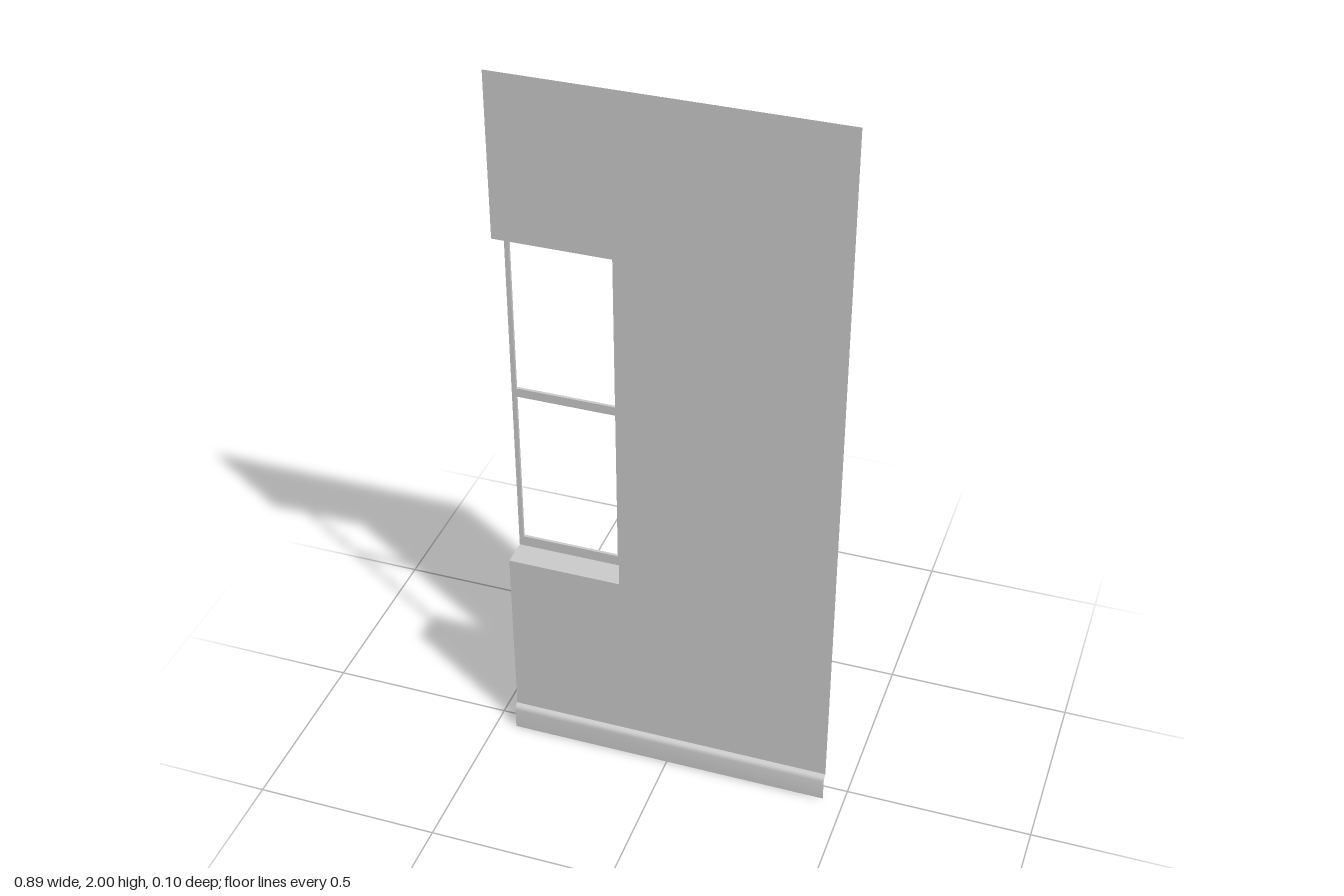
import * as THREE from 'three';
import { toCreasedNormals } from 'three/addons/utils/BufferGeometryUtils.js';

const material = new THREE.MeshStandardMaterial({ color: 0xcccccc, side: THREE.DoubleSide });

const HALF = 0.444;                                        // half width of the panel
const WALL_Z = 0.032, FRAME_Z = -0.042, BACK_Z = -0.05;    // depth layers
const BASE_TOP = 0.076;
const OPEN = { right: -0.135, bottom: 0.58, top: 1.56 };   // window recess
const PANE = { left: -0.432, right: -0.165 };
const PANE_ROWS = [[0.61, 1.06], [1.085, 1.53]];

function part(name, geometry) {
  const mesh = new THREE.Mesh(geometry, material);
  mesh.name = name;
  return mesh;
}

// Thin sheet made by sweeping a path of [x, y, z] points along a vector
function sweep(path, vector) {
  const position = [];
  const v = new THREE.Vector3(...vector);
  for (let i = 0; i < path.length - 1; i++) {
    const a = new THREE.Vector3(...path[i]), b = new THREE.Vector3(...path[i + 1]);
    const c = b.clone().add(v), d = a.clone().add(v);
    for (const p of [a, b, c, a, c, d]) position.push(p.x, p.y, p.z);
  }
  const geometry = new THREE.BufferGeometry();
  geometry.setAttribute('position', new THREE.Float32BufferAttribute(position, 3));
  return toCreasedNormals(geometry, Math.PI / 5);
}

// Counter-clockwise rectangle corners
const rectangle = (x0, y0, x1, y1) => [[x0, y0], [x1, y0], [x1, y1], [x0, y1]];
const toVectors = (points) => points.map(([x, y]) => new THREE.Vector2(x, y));

function flatSheet(points, z, holes = []) {
  const shape = new THREE.Shape(toVectors(points));
  shape.holes = holes.map((hole) => new THREE.Path(toVectors(hole)));
  return new THREE.ShapeGeometry(shape).translate(0, 0, z);
}

export function createModel() {
  const model = new THREE.Group();
  model.name = 'wallPanelWithWindow';

  // Wall sheet, notched at the side where the window sits
  model.add(part('wall', flatSheet([
    [-HALF, BASE_TOP], [HALF, BASE_TOP], [HALF, 2], [-HALF, 2],
    [-HALF, OPEN.top], [OPEN.right, OPEN.top], [OPEN.right, OPEN.bottom], [-HALF, OPEN.bottom],
  ], WALL_Z)));

  // Baseboard with a rounded top edge, open behind
  const profile = [[BASE_TOP, WALL_Z], [0.075, 0.037], [0.072, 0.042], [0.067, 0.0455], [0.06, 0.047], [0, 0.047]];
  model.add(part('baseboard', sweep(profile.map(([y, z]) => [-HALF, y, z]), [2 * HALF, 0, 0])));

  const win = new THREE.Group();
  win.name = 'window';
  model.add(win);

  // Sill, jamb and head of the recess; the outer side stays open
  const recess = rectangle(-HALF, OPEN.bottom, OPEN.right, OPEN.top);
  win.add(part('windowReveal', sweep(recess.map(([x, y]) => [x, y, WALL_Z]), [0, 0, FRAME_Z - WALL_Z])));

  // Frame face with two pane openings
  const panes = PANE_ROWS.map(([y0, y1]) => rectangle(PANE.left, y0, PANE.right, y1));
  win.add(part('windowFrame', flatSheet(recess, FRAME_Z, panes)));

  // Thin lip around each pane opening, reaching backwards
  panes.forEach((pane, i) => {
    const loop = [...pane, pane[0]].map(([x, y]) => [x, y, FRAME_Z]);
    win.add(part(i ? 'upperPaneLip' : 'lowerPaneLip', sweep(loop, [0, 0, BACK_Z - FRAME_Z])));
  });

  return model;
}
